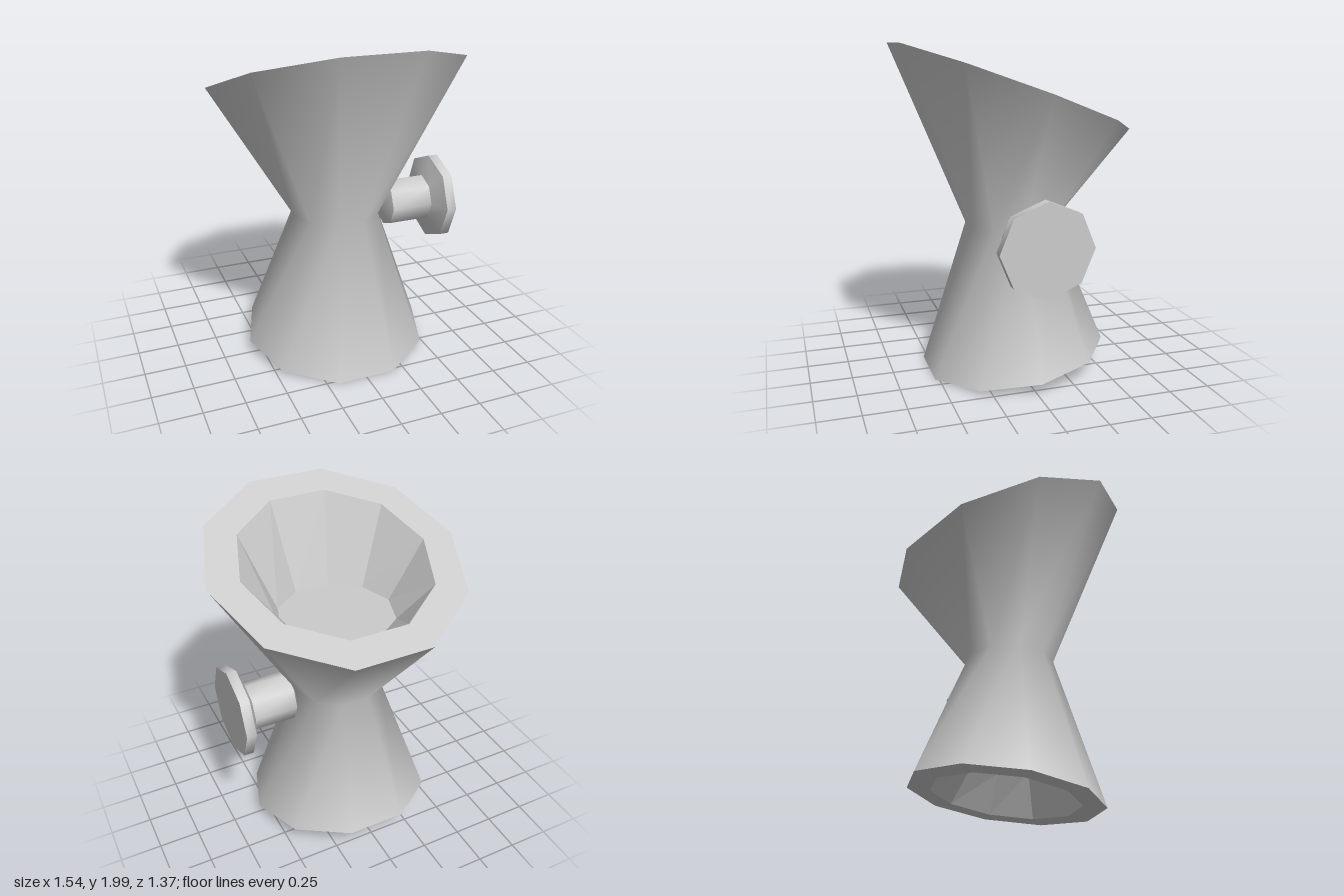
import * as THREE from 'three';
import { toCreasedNormals } from 'three/addons/utils/BufferGeometryUtils.js';

const SIDES = 10;

// Joins tilted ten-sided rings, each given as [radius, y, z, tilt in degrees]
function loft(rings) {
  const pos = [], index = [];
  rings.forEach(([r, y, z, tilt], k) => {
    const t = THREE.MathUtils.degToRad(tilt);
    for (let i = 0; i < SIDES; i++) {
      const a = (i / SIDES) * Math.PI * 2;
      pos.push(r * Math.cos(a), y + r * Math.sin(a) * Math.sin(t), z + r * Math.sin(a) * Math.cos(t));
      if (k === 0) continue;
      const j = (i + 1) % SIDES, lo = (k - 1) * SIDES, hi = k * SIDES;
      index.push(lo + i, hi + i, lo + j, lo + j, hi + i, hi + j);
    }
  });
  const g = new THREE.BufferGeometry();
  g.setAttribute('position', new THREE.Float32BufferAttribute(pos, 3));
  g.setIndex(index);
  g.computeVertexNormals();
  return g;
}

export function createModel() {
  const group = new THREE.Group();
  const smooth = new THREE.MeshStandardMaterial({ color: 0xcccccc });
  const flat = new THREE.MeshStandardMaterial({ color: 0xcccccc, flatShading: true });
  const add = (name, geometry, material) => {
    const mesh = new THREE.Mesh(geometry, material);
    mesh.name = name;
    group.add(mesh);
  };

  // Slanted end rings, their inner lips and the level cavity floors
  const foot = [0.577, 0.075, -0.02, -7.4];
  const footLip = [0.44, 0.075, -0.02, -7.4];
  const footFloor = [0.31, 0.3, 0, 0];
  const waist = [0.272, 0.91, 0, 0];
  const mouth = [0.77, 1.745, 0, 20.3];
  const mouthLip = [0.577, 1.745, 0, 20.3];
  const mouthFloor = [0.355, 1.39, 0, 0];

  // Hourglass shell
  add('body', loft([foot, waist, mouth]), smooth);

  // Flat rims and faceted cavities at both ends
  add('topRim', loft([mouth, mouthLip]), flat);
  add('topCavity', loft([mouthLip, mouthFloor, [0, 1.39, 0, 0]]), flat);
  add('bottomRim', loft([footLip, foot]), flat);
  add('bottomCavity', loft([[0, 0.3, 0, 0], footFloor, footLip]), flat);

  // Eight-sided clamp knob on the side, turned along x
  const profile = [[0, 0.28], [0.148, 0.335], [0.148, 0.6], [0.275, 0.645], [0.275, 0.705], [0, 0.705]]
    .map(([r, x]) => new THREE.Vector2(r, x));
  const knob = new THREE.LatheGeometry(profile, 8);
  knob.rotateZ(-Math.PI / 2);
  knob.translate(0, 0.905, 0);
  add('knob', toCreasedNormals(knob, THREE.MathUtils.degToRad(50)), smooth);

  return group;
}
